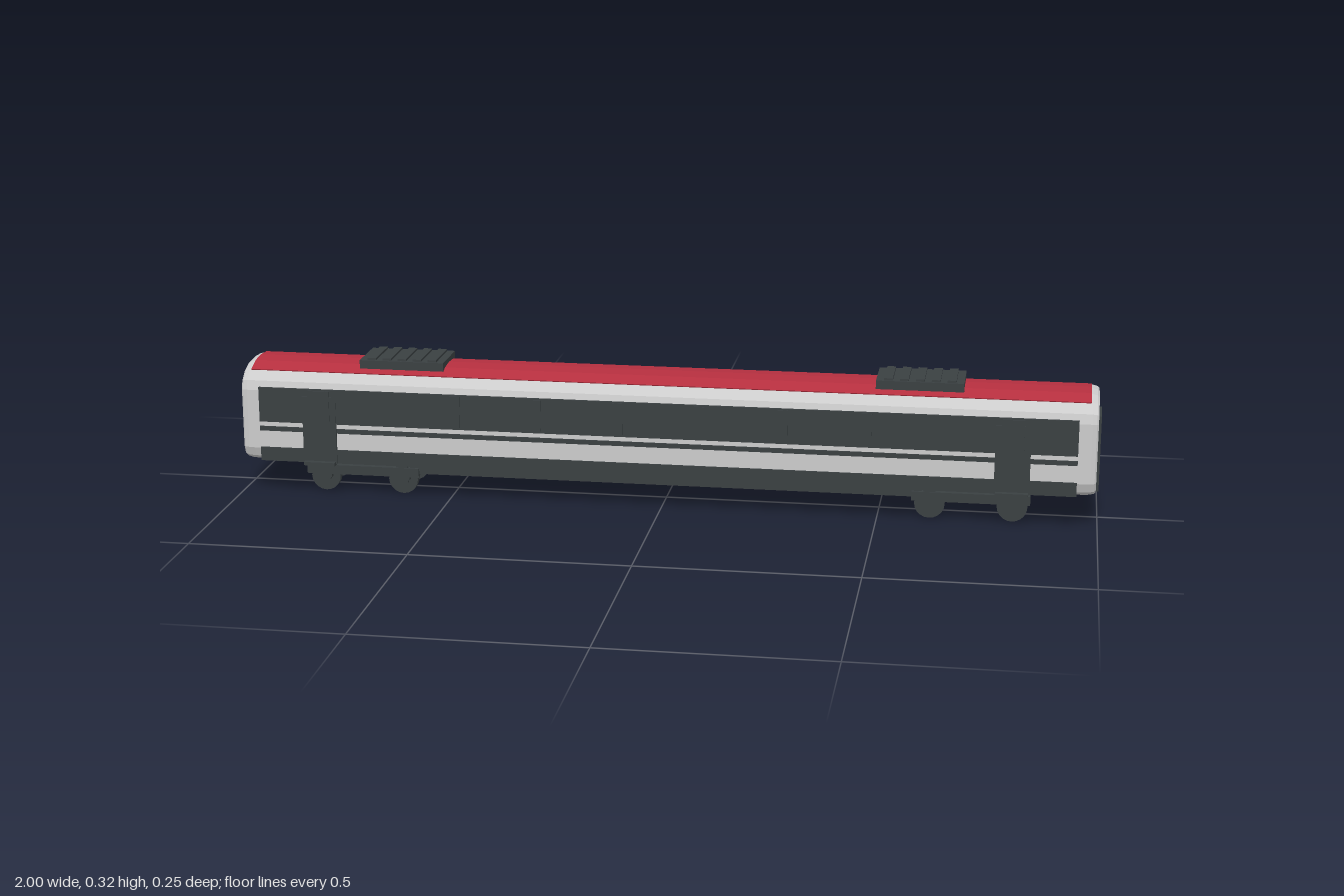
import * as THREE from 'three';

const mat = (color) => new THREE.MeshStandardMaterial({ color });

export function createModel() {
  const root = new THREE.Group();
  const grey = mat(0xcccccc), dark = mat(0x3a4042), red = mat(0xb52f3f);

  const add = (name, geo, material, x = 0, y = 0, z = 0) => {
    const m = new THREE.Mesh(geo, material);
    m.name = name;
    m.position.set(x, y, z);
    root.add(m);
    return m;
  };
  // Box given by its limits on each axis
  const box = (name, x0, x1, y0, y1, z0, z1, material = dark) =>
    add(name, new THREE.BoxGeometry(x1 - x0, y1 - y0, z1 - z0), material,
      (x0 + x1) / 2, (y0 + y1) / 2, (z0 + z1) / 2);
  // The same box on both long sides
  const sideBox = (name, x0, x1, y0, y1, z0, z1, material = dark) => {
    box(name, x0, x1, y0, y1, z0, z1, material);
    box(name, x0, x1, y0, y1, -z1, -z0, material);
  };
  // Cross-section in (z, y) swept along x
  const sweep = (points, length, bevel) => {
    const shape = new THREE.Shape(points.map(([z, y]) => new THREE.Vector2(z, y)));
    const geo = new THREE.ExtrudeGeometry(shape, { depth: length, ...bevel });
    return geo.translate(0, 0, -length / 2).rotateY(Math.PI / 2);
  };

  // Car body with softened ends
  const half = [[0.08, 0.077], [0.098, 0.088], [0.107, 0.11], [0.107, 0.25],
    [0.1, 0.272], [0.076, 0.293], [0.042, 0.304]];
  const mirror = (pts) => pts.map(([z, y]) => [-z, y]).reverse();
  const section = [...half, [0, 0.307], ...mirror(half)];
  add('body', sweep(section, 1.93, {
    bevelEnabled: true, bevelThickness: 0.028, bevelSize: 0.007, bevelOffset: -0.007, bevelSegments: 3,
  }), grey);

  // Red roof skin following the top of the body
  const roofHalf = [[0.079, 0.2935], [0.042, 0.306]];
  const underHalf = [[0.04, 0.3], [0.076, 0.288]];
  add('roof', sweep([...roofHalf, [0, 0.309], ...mirror(roofHalf),
    ...underHalf.map(([z, y]) => [-z, y]).reverse(), ...underHalf], 1.95, { bevelEnabled: false }), red);

  // Window band, trim line and lower skirt
  sideBox('windowBand', -0.95, 0.95, 0.175, 0.258, 0.1, 0.11);
  sideBox('trimLine', -0.95, 0.95, 0.153, 0.164, 0.1, 0.1095);
  sideBox('lowerSkirt', -0.95, 0.95, 0.08, 0.113, 0.104, 0.1095);

  // Raised window posts
  for (let i = 0; i < 6; i++) {
    const x = -0.48 + i * 0.191;
    sideBox('windowPost', x - 0.012, x + 0.012, 0.18, 0.255, 0.108, 0.113);
  }

  // Side doors, door windows and steps
  for (const x of [-0.805, 0.805]) {
    sideBox('sideDoor', x - 0.04, x + 0.04, 0.08, 0.24, 0.104, 0.112);
    sideBox('doorWindow', x - 0.025, x + 0.025, 0.183, 0.255, 0.11, 0.114);
    sideBox('step', x - 0.037, x + 0.037, 0.077, 0.085, 0.104, 0.125);
  }

  // Gangway doors at both ends
  for (const s of [-1, 1]) {
    const a = s * 0.985, b = s;
    box('gangwayDoor', Math.min(a, b), Math.max(a, b), 0.075, 0.252, -0.044, 0.044);
  }

  // Roof units with cooling slats
  for (const x of [-0.617, 0.59]) {
    box('roofUnit', x - 0.1, x + 0.1, 0.298, 0.32, -0.06, 0.06);
    for (let i = -2; i <= 2; i++) {
      const c = x + i * 0.036;
      box('roofSlat', c - 0.01, c + 0.01, 0.318, 0.325, -0.055, 0.055);
    }
  }

  // Underframe
  box('underframe', -0.6, 0.6, 0.052, 0.078, -0.072, 0.072);

  // Bogies: frame, side beams, axle boxes and wheelsets
  const wheelGeo = new THREE.CylinderGeometry(0.035, 0.035, 0.016, 20).rotateX(Math.PI / 2);
  const hubGeo = new THREE.CylinderGeometry(0.014, 0.014, 0.012, 12).rotateX(Math.PI / 2);
  const axleGeo = new THREE.CylinderGeometry(0.007, 0.007, 0.11, 10).rotateX(Math.PI / 2);
  for (const s of [-1, 1]) {
    const x = s * 0.713;
    box('bogieFrame', x - 0.07, x + 0.07, 0.047, 0.066, -0.07, 0.07);
    box('bogiePivot', x - 0.05, x + 0.05, 0.06, 0.08, -0.046, 0.046);
    sideBox('bogieBeam', x - 0.135, x + 0.135, 0.044, 0.066, 0.064, 0.078);
    for (const e of [-1, 1]) {
      const beamX = x + e * 0.128;
      box('bogieEndBeam', beamX - 0.007, beamX + 0.007, 0.048, 0.066, -0.07, 0.07);
      const wx = x + e * 0.094;
      sideBox('axleBox', wx - 0.018, wx + 0.018, 0.036, 0.066, 0.064, 0.077);
      sideBox('springSeat', wx - 0.014, wx + 0.014, 0.064, 0.08, 0.066, 0.076);
      add('axle', axleGeo, dark, wx, 0.035, 0);
      for (const side of [-1, 1]) {
        add('wheel', wheelGeo, dark, wx, 0.035, side * 0.055);
        add('wheelHub', hubGeo, dark, wx, 0.035, side * 0.065);
      }
    }
  }
  return root;
}
